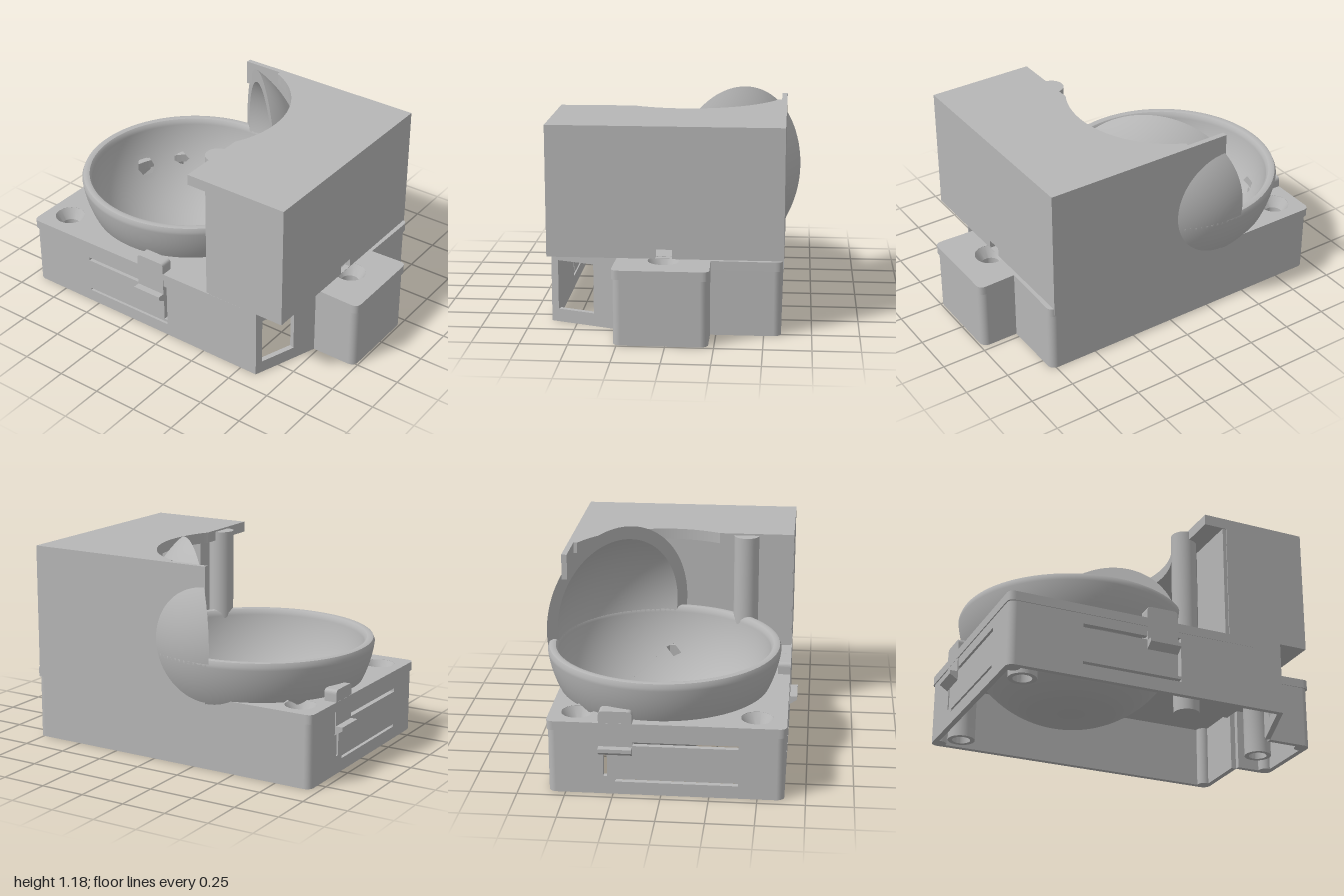
import * as THREE from 'three';
import { toCreasedNormals } from 'three/addons/utils/BufferGeometryUtils.js';

const plastic = new THREE.MeshStandardMaterial({ color: 0xb6b6b6, side: THREE.DoubleSide });
plastic.name = 'grey plastic';

// Sphere that the bowl and hood share
const C = new THREE.Vector3(-0.335, 0.68, -0.04), R = 0.64, RI = 0.585;

export function createModel() {
  const model = new THREE.Group();
  model.name = 'bowl feeder housing';

  const add = (name, geometry, x = 0, y = 0, z = 0, parent = model) => {
    const mesh = new THREE.Mesh(geometry, plastic);
    mesh.name = name;
    mesh.position.set(x, y, z);
    parent.add(mesh);
    return mesh;
  };
  const box = (name, x0, x1, y0, y1, z0, z1) =>
    add(name, new THREE.BoxGeometry(x1 - x0, y1 - y0, z1 - z0), (x0 + x1) / 2, (y0 + y1) / 2, (z0 + z1) / 2);
  const rect = (x0, y0, x1, y1, Type = THREE.Path) =>
    new Type([[x0, y0], [x1, y0], [x1, y1], [x0, y1]].map(p => new THREE.Vector2(...p)));
  const circle = (x, y, r) => new THREE.Path().absarc(x, y, r, 0, Math.PI * 2, true);

  // Upright wall from (x0, z0) to (x1, z1), outside on the right hand side of travel
  const wall = (name, x0, z0, x1, z1, y0, y1, holes = [], outline = null) => {
    const t = 0.03;
    const shape = outline || rect(0, y0, Math.hypot(x1 - x0, z1 - z0), y1, THREE.Shape);
    shape.holes.push(...holes);
    const g = new THREE.ExtrudeGeometry(shape, { depth: t, bevelEnabled: false, curveSegments: 32 });
    g.translate(0, 0, -t);
    return add(name, g, x0, 0, z0).rotateY(Math.atan2(z0 - z1, x1 - x0));
  };
  // Horizontal plate from a shape drawn in x and -z
  const plate = (name, shape, y0, y1) => {
    const g = new THREE.ExtrudeGeometry(shape, { depth: y1 - y0, bevelEnabled: false, curveSegments: 64 });
    g.rotateX(-Math.PI / 2);
    return add(name, g, 0, y0, 0);
  };

  // Footprint of the base, with the corner radius of each point
  const foot = [[-0.955, 0.64, 0.04], [0.6, 0.64, 0], [0.73, 0.27, 0], [0.99, 0.27, 0.04],
    [0.99, -0.22, 0.04], [0.78, -0.22, 0], [0.78, -0.59, 0.04], [-0.955, -0.59, 0.04]];
  const wallHoles = {
    0: [rect(0.36, 0.275, 0.75, 0.295), rect(0.36, 0.07, 1.5, 0.085).clone(), rect(0.895, 0.1, 0.915, 0.32)],
    1: [rect(0.04, 0.07, 0.25, 0.34)],
    7: [rect(0.31, 0.275, 0.95, 0.295), rect(0.31, 0.07, 0.95, 0.085), rect(0.25, 0.1, 0.27, 0.32)]
  };
  wallHoles[0][1] = rect(0.36, 0.07, 0.915, 0.085);
  const lid = new THREE.Shape();
  foot.forEach(([x, z, r], i) => {
    const [nx, nz, nr] = foot[(i + 1) % foot.length];
    const [px, pz] = foot[(i + foot.length - 1) % foot.length];
    const d = new THREE.Vector2(nx - x, nz - z).normalize();
    const e = new THREE.Vector2(x - px, z - pz).normalize();
    wall('baseWall', x + d.x * r, z + d.y * r, nx - d.x * nr, nz - d.y * nr, 0, 0.36, wallHoles[i]);
    if (r) {
      add('baseCorner', new THREE.CylinderGeometry(r, r, 0.36, 24),
        x + (d.x - e.x) * r, 0.18, z + (d.y - e.y) * r);
    }
    // Lid outline, a hair wider than the walls
    const o = r ? 0.006 : 0;
    const cx = x + (e.x - d.x) * o, cz = z + (e.y - d.y) * o;
    const a = [cx - e.x * r, -(cz - e.y * r)];
    if (i === 0) lid.moveTo(...a); else lid.lineTo(...a);
    if (r) lid.quadraticCurveTo(cx, -cz, cx + d.x * r, -(cz + d.y * r));
  });
  lid.closePath();

  // Lid with the bowl opening and three screw holes
  const screws = [[-0.82, -0.45], [-0.82, 0.49], [0.79, 0.02]];
  lid.holes.push(circle(C.x, -C.z, 0.545), ...screws.map(([x, z]) => circle(x, -z, 0.084)));
  plate('baseLid', lid, 0.35, 0.4);
  const post = [[0.05, 0], [0.075, 0], [0.075, 0.35], [0.085, 0.4], [0.05, 0.34], [0.05, 0]];
  for (const [x, z] of screws) {
    const g = new THREE.LatheGeometry(post.map(p => new THREE.Vector2(...p)), 32);
    add('screwPost', toCreasedNormals(g, 0.5), x, 0, z);
  }
  box('innerBlock', 0.3, 0.6, 0.2, 0.36, 0.02, 0.25);

  // Spring clips: an upright thumb plate with a wedge hook below
  const clip = (x, z, angle) => {
    const group = new THREE.Group();
    group.name = 'clip';
    const tab = new THREE.Shape();
    tab.moveTo(-0.0875, 0.25).lineTo(0.0875, 0.25).lineTo(0.0875, 0.44);
    tab.quadraticCurveTo(0.0875, 0.465, 0.065, 0.465).lineTo(-0.065, 0.465);
    tab.quadraticCurveTo(-0.0875, 0.465, -0.0875, 0.44);
    add('clipTab', new THREE.ExtrudeGeometry(tab, { depth: 0.07, bevelEnabled: false }), 0, 0, -0.065, group);
    const hook = new THREE.Shape([[-0.02, 0.22], [0, 0.22], [0.045, 0.25], [0.045, 0.27], [-0.02, 0.27]]
      .map(p => new THREE.Vector2(...p)));
    const g = new THREE.ExtrudeGeometry(hook, { depth: 0.175, bevelEnabled: false });
    g.rotateY(-Math.PI / 2);
    add('clipHook', g, 0.0875, 0, 0, group);
    group.position.set(x, 0, z);
    group.rotation.y = angle;
    model.add(group);
  };
  clip(-0.107, 0.64, 0);
  clip(-0.955, -0.235, -Math.PI / 2);

  // Bowl: a thick spherical shell with a rounded rim and a flat foot
  const arc = (r, a0, a1, n) => Array.from({ length: n + 1 }, (_, i) => {
    const a = a0 + (a1 - a0) * i / n;
    return new THREE.Vector2(Math.max(0, r * Math.sin(a)), r * Math.cos(a));
  });
  const bowlProfile = [new THREE.Vector2(0, -0.595), ...arc(R, Math.PI - Math.acos(0.595 / R), 1.69, 40),
    new THREE.Vector2(0.627, -0.055), new THREE.Vector2(0.61, -0.05), new THREE.Vector2(0.592, -0.055),
    ...arc(RI, 1.69, Math.PI, 48)];
  let bowl = new THREE.LatheGeometry(bowlProfile, 128);
  // Push vertices aside round each drain hole, then drop the faces that span it
  const drains = [[-0.365, -0.36, 0.034], [-0.365, 0.35, 0.034], [0.505, 0, 0.034], [-0.485, -0.16, 0.05]]
    .map(([x, z, r]) => ({ axis: new THREE.Vector3(x, -Math.sqrt(RI * RI - x * x - z * z), z).normalize(), r: r / RI }));
  const pos = bowl.attributes.position, v = new THREE.Vector3();
  for (let i = 0; i < pos.count; i++) {
    v.fromBufferAttribute(pos, i);
    const len = v.length();
    for (const { axis, r } of drains) {
      const a = v.angleTo(axis);
      if (a > 1e-5 && a < 2 * r) {
        const side = v.clone().addScaledVector(axis, -v.dot(axis)).normalize();
        const b = r + a / 2;
        v.copy(axis).multiplyScalar(len * Math.cos(b)).addScaledVector(side, len * Math.sin(b));
      }
    }
    pos.setXYZ(i, v.x, v.y, v.z);
  }
  const keep = [], idx = bowl.index.array, p = new THREE.Vector3();
  for (let i = 0; i < idx.length; i += 3) {
    v.set(0, 0, 0);
    for (let k = 0; k < 3; k++) v.add(p.fromBufferAttribute(pos, idx[i + k]));
    if (!drains.some(d => v.angleTo(d.axis) < d.r * 0.9)) keep.push(idx[i], idx[i + 1], idx[i + 2]);
  }
  bowl.setIndex(keep);
  add('bowl', toCreasedNormals(bowl, 0.6), C.x, C.y, C.z);

  // Hood: the same shell cut by an upright diagonal plane
  const cut = 0.403, outer = Math.acos(cut / R), inner = Math.acos(cut / RI);
  const hoodProfile = [...arc(R, outer, 0, 28), ...arc(RI, 0, inner, 28), arc(R, outer, 0, 1)[0]];
  const hood = add('hood', toCreasedNormals(new THREE.LatheGeometry(hoodProfile, 96), 0.6), C.x, C.y, C.z);
  hood.quaternion.setFromUnitVectors(new THREE.Vector3(0, 1, 0), new THREE.Vector3(1, 0, -1).normalize());

  // Housing walls; the back one is notched round the hood
  wall('housingFront', 0.29, 0.64, 0.76, 0.64, 0.4, 1.1);
  wall('housingSide', 0.76, 0.64, 0.76, -0.6, 0.4, 1.1, [rect(0.57, 0.402, 0.66, 0.45)]);
  const back = new THREE.Shape();
  back.moveTo(0, 0.36).lineTo(1.09, 0.36).lineTo(1.09, 0.4);
  back.absarc(1.09, C.y, 0.28, -Math.PI / 2, Math.PI / 2, true);
  back.lineTo(1.09, 1.1).lineTo(0, 1.1);
  wall('housingBack', 0.76, -0.6, -0.33, -0.6, 0.36, 1.1, [], back);
  box('housingInnerWall', 0.27, 0.295, 0.4, 1.05, 0.32, 0.635);
  box('housingFloor', 0.5, 0.755, 0.4, 0.415, 0.15, 0.635);

  // Housing top with a round cut over the bowl
  const top = new THREE.Shape();
  top.moveTo(0.76, -0.64).lineTo(0.76, 0.6).lineTo(-0.1, 0.6).lineTo(-0.1, 0.55);
  top.absarc(C.x, -C.z, 0.56, 1.12, -0.49, true);
  top.lineTo(0.16, -0.64);
  plate('housingTop', top, 1.04, 1.1);

  // Guide column beside the bowl
  add('column', new THREE.CylinderGeometry(0.07, 0.07, 1.07, 40), 0.16, 0.555, 0.375);

  return model;
}
